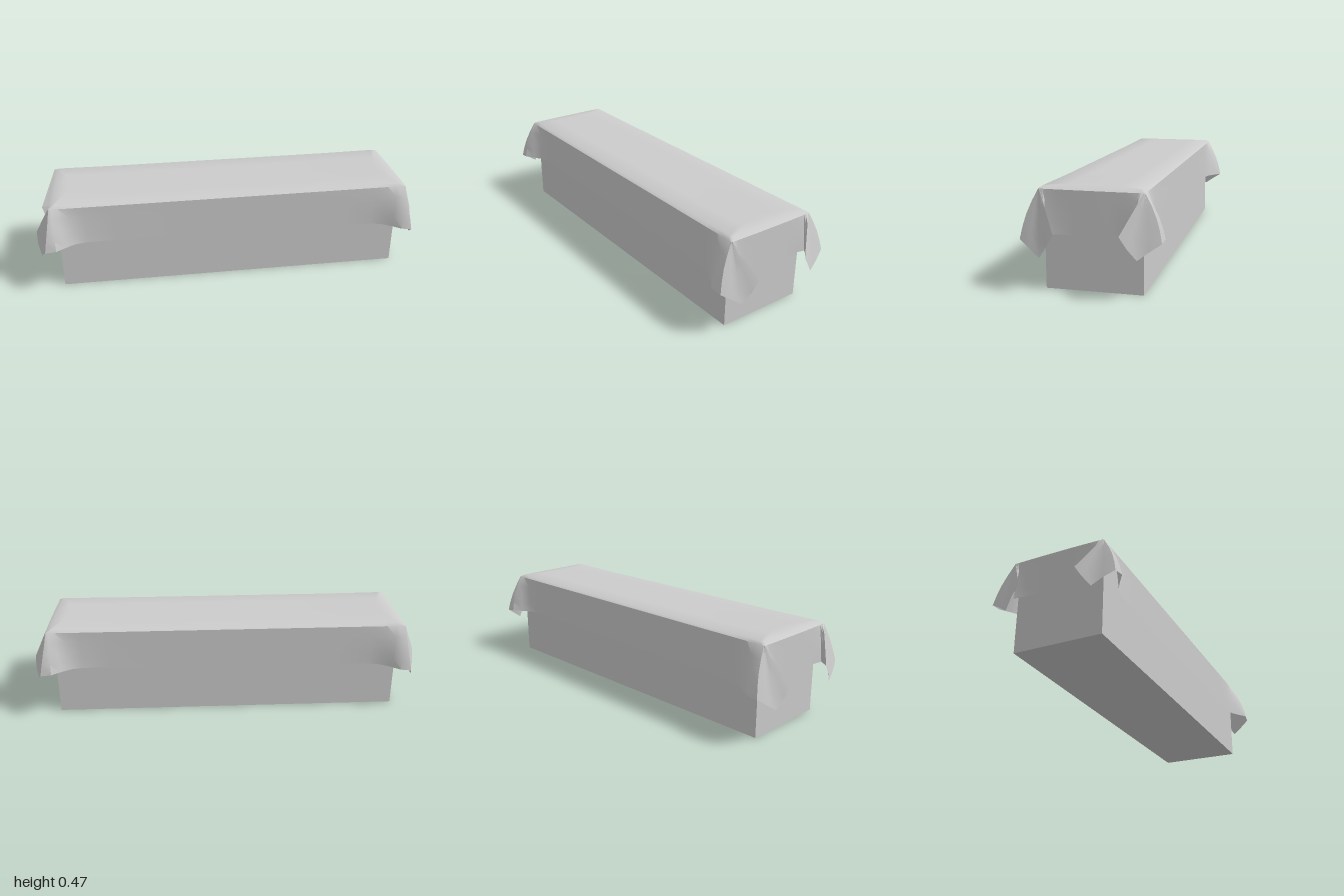
import * as THREE from 'three';
import { toCreasedNormals } from 'three/addons/utils/BufferGeometryUtils.js';

// One quarter of the cloth, from the middle of the end round to the middle of the side.
// Each entry: point on the top edge [x, z], then point on the hem [x, y, z].
const QUARTER = [
  [[0.917, 0], [0.917, 0.261, 0]],
  [[0.917, 0.08], [0.917, 0.261, 0.08]],
  [[0.916, 0.15], [0.917, 0.262, 0.155]],
  [[0.915, 0.20], [0.928, 0.26, 0.212]], // inside of the corner fold
  [[0.915, 0.215], [0.96, 0.265, 0.185]],
  [[0.915, 0.228], [0.997, 0.278, 0.142]], // outer edge of the fold
  [[0.915, 0.231], [0.993, 0.225, 0.175]],
  [[0.914, 0.233], [0.976, 0.173, 0.213]], // cloth corner
  [[0.912, 0.234], [0.965, 0.207, 0.26]],
  [[0.910, 0.235], [0.945, 0.242, 0.312]],
  [[0.90, 0.235], [0.89, 0.25, 0.316]],
  [[0.87, 0.235], [0.845, 0.25, 0.283]],
  [[0.82, 0.235], [0.80, 0.25, 0.254]],
  [[0.75, 0.235], [0.74, 0.25, 0.24]],
  [[0.60, 0.235], [0.60, 0.249, 0.236]],
  [[0.30, 0.235], [0.30, 0.249, 0.236]],
  [[0, 0.235], [0, 0.249, 0.236]],
];

// Joins the four mirrored quarters into one loop
function clothLoop() {
  const loop = [];
  for (const [sx, sz] of [[1, 1], [-1, 1], [-1, -1], [1, -1]]) {
    const flip = sx * sz < 0;
    const q = flip ? [...QUARTER].reverse() : QUARTER;
    q.slice(0, -1).forEach(([t, h]) => {
      const tilt = -0.009 * sx * sz * h[0] * Math.min(1, Math.abs(h[2]) / 0.235);
      loop.push({ top: [t[0] * sx, t[1] * sz], hem: [h[0] * sx, h[1] + tilt, h[2] * sz] });
    });
  }
  return loop;
}

function clothGeometry() {
  const loop = clothLoop();
  const rings = [];
  // Top of the cloth, from the centre line outwards
  for (const [kx, kz, y] of [[0.9, 0, 0.461], [0.93, 0.5, 0.462], [0.975, 0.93, 0.461]]) {
    rings.push(loop.map(({ top: [x, z] }) => {
      const lift = 0.006 * Math.max(0, Math.abs(x) - 0.6) / 0.3 * (1 - 0.6 * kz);
      return [x * kx, y + lift, z * kz];
    }));
  }
  // Hanging part, from the rounded edge down to the hem
  for (const t of [0, 0.25, 0.5, 0.75, 1]) {
    rings.push(loop.map(({ top: [x, z], hem: [hx, hy, hz] }) => {
      const flare = Math.min(1, Math.max(0, Math.abs(hz) - 0.236) / 0.07);
      const bulge = 0.012 * Math.sin(Math.PI * t) * flare;
      return [x + (hx - x) * t, 0.452 + (hy - 0.452) * t, z + (hz - z) * t + Math.sign(z) * bulge];
    }));
  }
  const n = loop.length, index = [];
  for (let r = 0; r < rings.length - 1; r++) {
    for (let i = 0; i < n; i++) {
      const a = r * n + i, c = r * n + (i + 1) % n;
      index.push(a, c, a + n, c, c + n, a + n);
    }
  }
  const geometry = new THREE.BufferGeometry();
  geometry.setAttribute('position', new THREE.Float32BufferAttribute(rings.flat(2), 3));
  geometry.setIndex(index);
  return toCreasedNormals(geometry, 0.7);
}

export function createModel() {
  const group = new THREE.Group();

  // Plain box table
  const table = new THREE.Mesh(
    new THREE.BoxGeometry(1.76, 0.445, 0.442),
    new THREE.MeshStandardMaterial({ color: 0xcccccc }));
  table.position.y = 0.2225;
  table.name = 'table';

  // Draped cloth with flared, folded corners
  const cloth = new THREE.Mesh(
    clothGeometry(),
    new THREE.MeshStandardMaterial({ color: 0xcccccc, side: THREE.DoubleSide }));
  cloth.name = 'tablecloth';

  group.add(table, cloth);
  return group;
}
